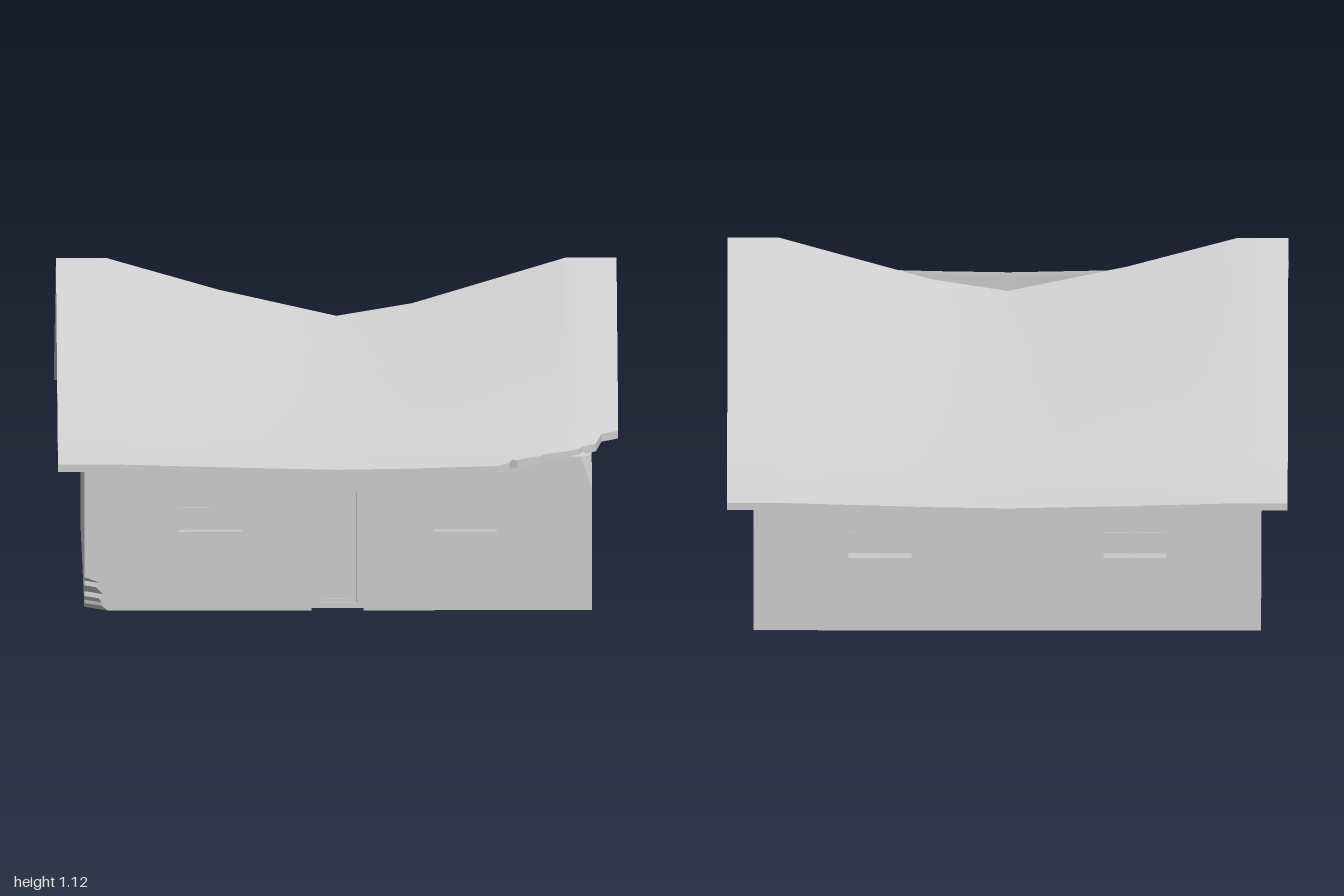
import * as THREE from 'three';
import { toCreasedNormals } from 'three/addons/utils/BufferGeometryUtils.js';
import { ConvexGeometry } from 'three/addons/geometries/ConvexGeometry.js';

const OUT = 0.905, INN = 0.815, WALL = OUT - INN;
const WIN = { x: 0.455, y: 0.3625, w: 0.225, h: 0.155 };
const DOOR = { x0: -0.095, x1: 0.09, top: 0.44 };

const shapeOf = (pts) => new THREE.Shape(pts.map(([x, y]) => new THREE.Vector2(x, y)));
const rectPts = (x0, x1, y0, y1) => [[x0, y0], [x1, y0], [x1, y1], [x0, y1]];
const extrude = (shape, depth) => new THREE.ExtrudeGeometry(shape, { depth, bevelEnabled: false });

// Piecewise linear lookup in a list of [x, value]
function lookup(table, x) {
  if (x <= table[0][0]) return table[0][1];
  for (let i = 1; i < table.length; i++) {
    const [x0, v0] = table[i - 1], [x1, v1] = table[i];
    if (x <= x1) return v0 + (v1 - v0) * (x - x0) / (x1 - x0);
  }
  return table[table.length - 1][1];
}

// How far the ridge has sunk, and where the broken front eave ends
const SAG = [[-0.82, 0], [-0.42, 0.115], [0, 0.21], [0.27, 0.165], [0.82, 0]];
const BREAK = [[0.57, 1], [0.61, 0.98], [0.62, 0.955], [0.64, 0.965], [0.66, 0.95], [0.72, 0.937],
  [0.735, 0.925], [0.8, 0.91], [0.86, 0.895], [0.87, 0.885], [0.92, 0.87], [0.94, 0.825], [1, 0.81]];

function roofHeight(x, z) {
  const a = Math.abs(z);
  const flat = a < OUT ? 1.125 - 0.55 * a / OUT : 0.575 - 0.03 * (a - OUT) / (1 - OUT);
  return flat - lookup(SAG, x) * (0.1 + 0.9 * Math.max(0, 1 - a / OUT));
}

// Roof sheet: closed cross-sections lofted along x
function roofGeometry() {
  const xs = [-1, -OUT, -0.82, -0.62, -0.42, -0.2, 0, 0.27, 0.42, ...BREAK.map((p) => p[0]), 0.82, OUT]
    .sort((a, b) => a - b);
  const half = [0.2, 0.4, 0.6, 0.8, OUT, 1];
  const zs = [...half.map((z) => -z).reverse(), 0, ...half];
  const n = zs.length, ring = 2 * n, pos = [], idx = [];
  for (const x of xs) {
    const row = zs.map((z) => Math.min(z, lookup(BREAK, x)));
    for (const z of row) pos.push(x, roofHeight(x, z), z);
    for (const z of row.reverse()) pos.push(x, roofHeight(x, z) - 0.028, z);
  }
  const quad = (a, b, c, d) => idx.push(a, b, c, a, c, d);
  for (let i = 0; i < xs.length - 1; i++) {
    for (let j = 0; j < ring; j++) {
      const a = i * ring + j, b = i * ring + (j + 1) % ring;
      quad(a, b, b + ring, a + ring);
    }
  }
  const last = (xs.length - 1) * ring;
  for (let j = 0; j < n - 1; j++) {
    const t0 = j, t1 = j + 1, b1 = ring - 2 - j, b0 = ring - 1 - j;
    quad(last + t0, last + t1, last + b1, last + b0);
    quad(t0, b0, b1, t1);
  }
  const g = new THREE.BufferGeometry();
  g.setAttribute('position', new THREE.Float32BufferAttribute(pos, 3));
  g.setIndex(idx);
  return toCreasedNormals(g, 0.35);
}

// Square corner post section at height y, with its outer front corner cut off by c
function cornerRing(side, y, c, innerY = y) {
  return [[OUT, OUT - c, y], [OUT - c, OUT, y], [INN, OUT, y], [INN, INN, innerY], [OUT, INN, innerY]]
    .map(([x, z, h]) => new THREE.Vector3(side * x, h, z));
}

export function createModel() {
  const house = new THREE.Group();
  house.name = 'house';
  const material = new THREE.MeshStandardMaterial({ color: 0xcccccc });
  const add = (parent, name, geometry, x = 0, y = 0, z = 0) => {
    const mesh = new THREE.Mesh(geometry, material);
    mesh.name = name;
    mesh.position.set(x, y, z);
    parent.add(mesh);
    return mesh;
  };

  // Long walls with window holes; the front one also has the door opening
  const longWall = (withDoor) => {
    const top = 0.545;
    const door = withDoor
      ? [[DOOR.x0, 0], [DOOR.x0, DOOR.top], [DOOR.x1, DOOR.top], [DOOR.x1, 0]] : [];
    const shape = shapeOf([[-INN, 0], ...door, [INN, 0], [INN, top], [-INN, top]]);
    for (const s of [-1, 1]) {
      const x = s * WIN.x;
      shape.holes.push(shapeOf(rectPts(x - WIN.w / 2, x + WIN.w / 2, WIN.y - WIN.h / 2, WIN.y + WIN.h / 2)));
    }
    return extrude(shape, WALL);
  };
  add(house, 'frontWall', longWall(true), 0, 0, INN);
  add(house, 'backWall', longWall(false), 0, 0, -OUT);

  // Gable walls, each leaving room for one damaged corner
  const gable = (pts) => extrude(shapeOf(pts), WALL).rotateY(-Math.PI / 2);
  add(house, 'rightGable', gable([[-OUT, 0], [OUT, 0], [OUT, 0.44], [INN, 0.44], [INN, 0.61],
    [0, 1.11], [-OUT, 0.555]]), OUT);
  add(house, 'leftGable', gable([[-OUT, 0], [INN, 0], [INN, 0.12], [OUT, 0.12], [OUT, 0.555],
    [0, 1.11], [-OUT, 0.555]]), -INN);

  // Crumbled foot of one corner and chipped top of the other
  const foot = [[0, 0.085], [0.018, 0.06], [0.03, 0.062], [0.045, 0.05], [0.06, 0.065],
    [0.085, 0.04], [0.1, 0.055], [0.12, 0.004]];
  for (let i = 1; i < foot.length; i++) {
    add(house, 'crumbledCorner', new ConvexGeometry([
      ...cornerRing(-1, ...foot[i - 1]), ...cornerRing(-1, ...foot[i])]));
  }
  add(house, 'chippedCorner', new ConvexGeometry([
    ...cornerRing(1, 0.44, 0.001), ...cornerRing(1, 0.555, 0.038, 0.61)]));

  // Windows: recessed pane with crossing bars
  for (const sx of [-1, 1]) {
    for (const sz of [-1, 1]) {
      const win = new THREE.Group();
      win.name = 'window';
      win.position.set(sx * WIN.x, WIN.y, sz * 0.86);
      add(win, 'pane', new THREE.BoxGeometry(WIN.w, WIN.h, 0.012));
      add(win, 'uprightBar', new THREE.BoxGeometry(0.01, WIN.h, 0.018));
      add(win, 'crossBar', new THREE.BoxGeometry(WIN.w, 0.01, 0.018));
      house.add(win);
    }
  }

  // Door: frame, stepped rim and sunken panel
  const rim = (outer, inner, depth) => {
    const shape = shapeOf(rectPts(...outer));
    shape.holes.push(shapeOf(rectPts(...inner)));
    return extrude(shape, depth);
  };
  const mid = [-0.07, 0.065, 0.02, 0.42], inner = [-0.058, 0.053, 0.032, 0.408];
  const door = new THREE.Group();
  door.name = 'door';
  add(door, 'doorFrame', rim([DOOR.x0, DOOR.x1, 0, DOOR.top], mid, 0.04), 0, 0, INN);
  add(door, 'doorRim', rim(mid, inner, 0.02), 0, 0, INN + 0.01);
  add(door, 'doorPanel', extrude(shapeOf(rectPts(...inner)), 0.008), 0, 0, INN + 0.014);
  house.add(door);

  add(house, 'roof', roofGeometry());
  return house;
}
